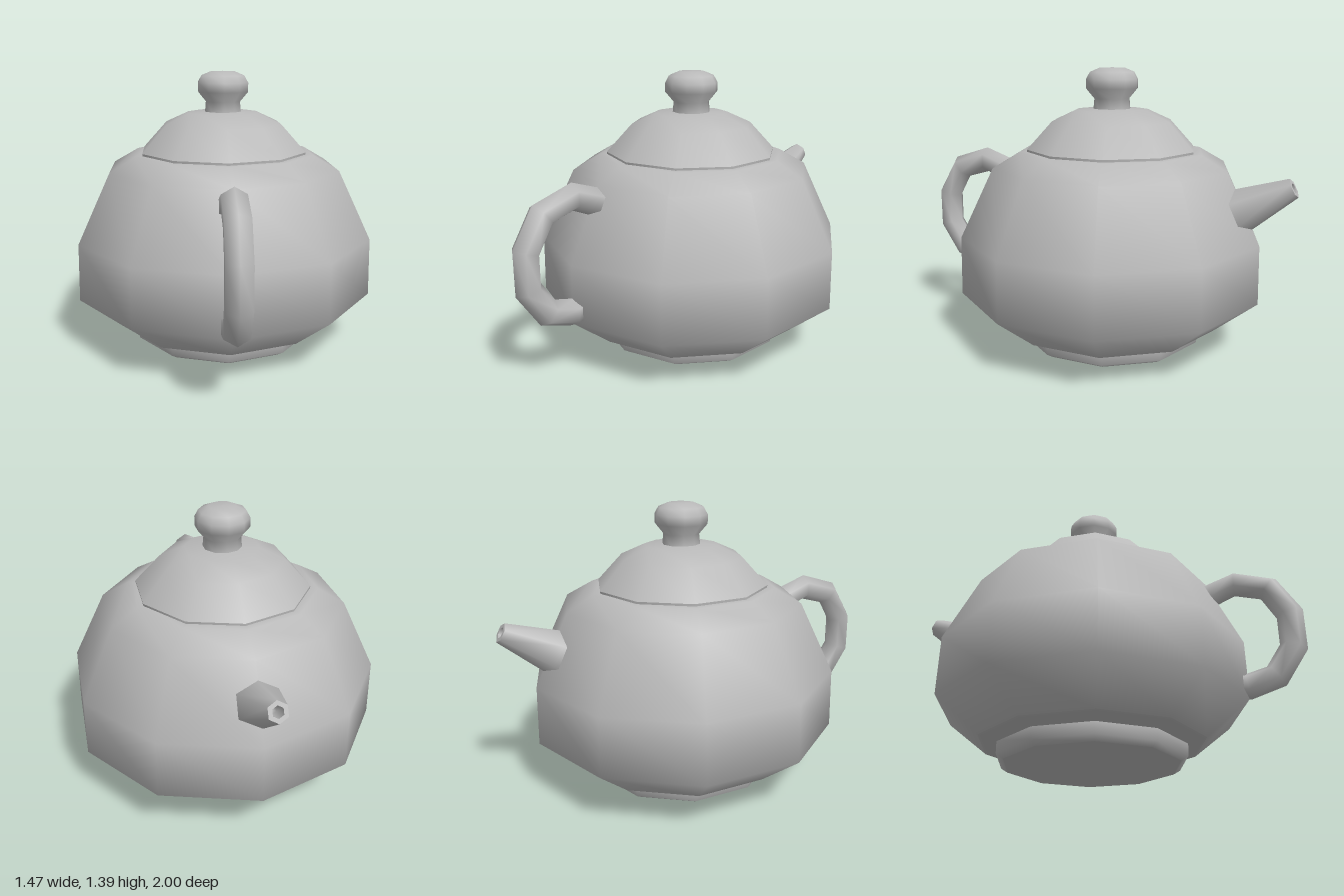
import * as THREE from 'three';

const grey = new THREE.MeshStandardMaterial({ color: 0xbababa });
grey.name = 'grey';

// Turned part from [radius, height] pairs, listed bottom to top
function turned(name, profile, sides = 10) {
  const points = profile.map(([r, y]) => new THREE.Vector2(r, y));
  const mesh = new THREE.Mesh(new THREE.LatheGeometry(points, sides), grey);
  mesh.name = name;
  return mesh;
}

// Smooth six-sided tube along [z, y] points in the x = 0 plane
function sweep(name, path, radius, sides = 6) {
  const positions = [], index = [];
  path.forEach(([z, y], i) => {
    const [z0, y0] = path[Math.max(i - 1, 0)];
    const [z1, y1] = path[Math.min(i + 1, path.length - 1)];
    const length = Math.hypot(z1 - z0, y1 - y0);
    const tz = (z1 - z0) / length, ty = (y1 - y0) / length;
    for (let j = 0; j < sides; j++) {
      const a = (j / sides) * Math.PI * 2;
      const out = Math.cos(a) * radius;
      positions.push(Math.sin(a) * radius, y - tz * out, z + ty * out);
      if (i === path.length - 1) continue;
      const p = i * sides + j, q = i * sides + (j + 1) % sides;
      index.push(p, q, p + sides, q, q + sides, p + sides);
    }
  });
  const geometry = new THREE.BufferGeometry();
  geometry.setAttribute('position', new THREE.Float32BufferAttribute(positions, 3));
  geometry.setIndex(index);
  geometry.computeVertexNormals();
  const mesh = new THREE.Mesh(geometry, grey);
  mesh.name = name;
  return mesh;
}

export function createModel() {
  const model = new THREE.Group();
  model.name = 'teapot';

  // Turned parts share one upright axis
  const pot = new THREE.Group();
  pot.name = 'pot';
  pot.position.z = -0.066;
  pot.add(
    turned('footBase', [[0, 0.003], [0.435, 0.003]]),
    turned('foot', [[0.435, 0.003], [0.47, 0.025], [0.47, 0.085]]),
    turned('bodyUnderside', [[0.44, 0.08], [0.475, 0.082], [0.56, 0.105]]),
    turned('body', [[0.56, 0.105], [0.773, 0.275], [0.768, 0.565], [0.602, 0.91], [0.468, 0.987], [0.42, 0.987]]),
    turned('lidRim', [[0.43, 0.985], [0.431, 0.998]]),
    turned('lid', [[0.431, 0.998], [0.305, 1.135], [0.184, 1.19], [0, 1.2]]),
    turned('knob', [[0.095, 1.19], [0.09, 1.245], [0.132, 1.295], [0.132, 1.34], [0.113, 1.375], [0.065, 1.395], [0, 1.397]]),
  );
  model.add(pot);

  // Tapered spout with a small recessed opening
  const spout = new THREE.Group();
  spout.name = 'spout';
  spout.add(
    turned('spoutTube', [[0.125, -0.08], [0.107, 0], [0.048, 0.27]], 6),
    turned('spoutLip', [[0.048, 0.27], [0.027, 0.27]], 6),
    turned('spoutOpening', [[0.027, 0.27], [0.024, 0.17], [0, 0.17]], 6),
  );
  spout.position.set(0, 0.735, -0.74);
  spout.rotation.x = -1.087;
  model.add(spout);

  // Looped handle, both ends sunk into the body
  model.add(sweep('handle', [
    [0.5, 0.82], [0.56, 0.845], [0.68, 0.89], [0.845, 0.84], [0.934, 0.69],
    [0.934, 0.515], [0.84, 0.375], [0.705, 0.335], [0.66, 0.345],
  ], 0.066));

  return model;
}
